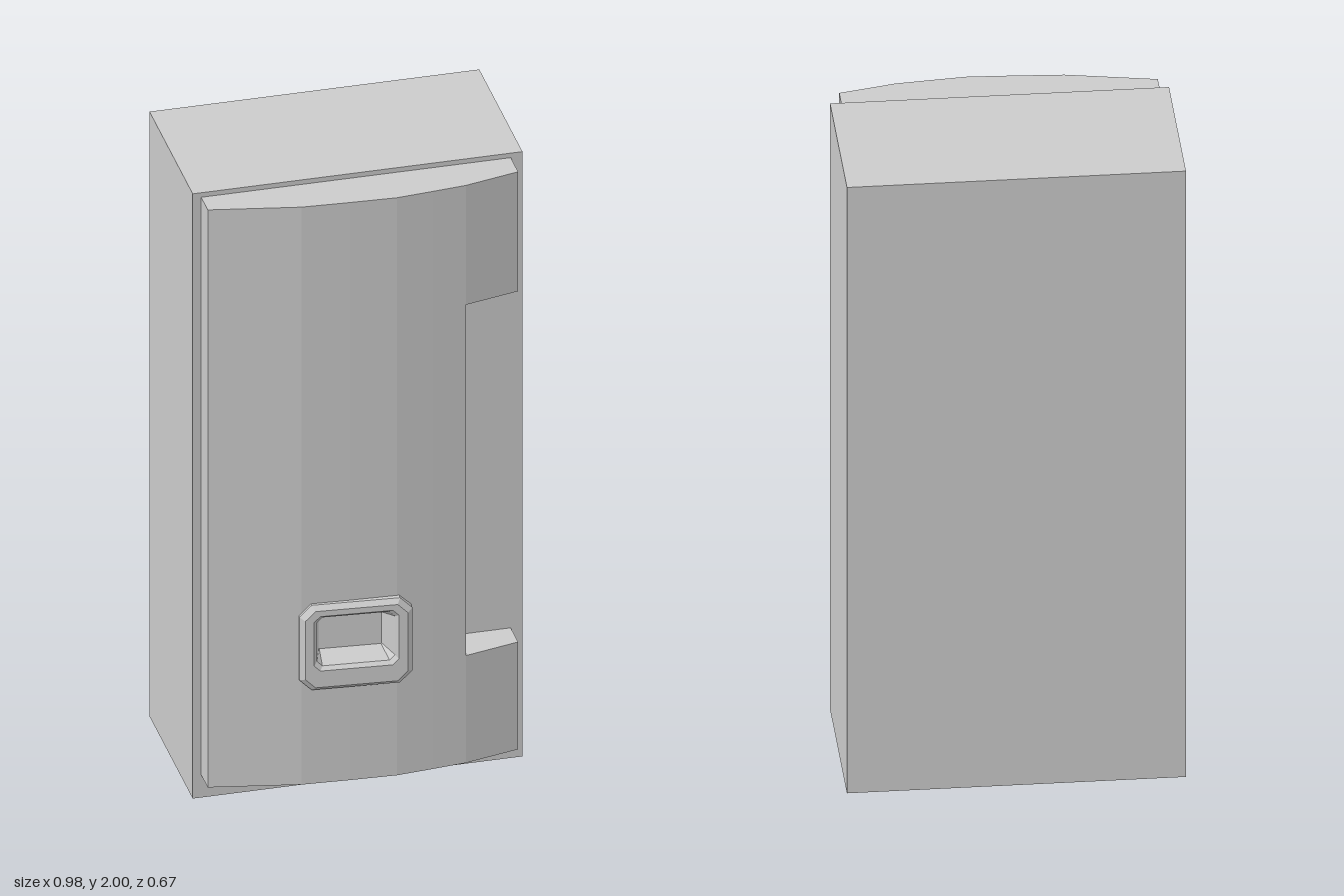
import * as THREE from 'three';

const material = new THREE.MeshStandardMaterial({ color: 0xcccccc, flatShading: true, side: THREE.DoubleSide });

// bowed door front: x, z
const BOW = [[-0.465, 0.236], [-0.2, 0.288], [-0.06, 0.297], [0.08, 0.304], [0.19, 0.294], [0.29, 0.284], [0.455, 0.245]];
const BODY_FRONT = 0.16;

function bowZ(x) {
  for (let i = 1; i < BOW.length; i++) {
    const [x0, z0] = BOW[i - 1], [x1, z1] = BOW[i];
    if (x <= x1) return z0 + (z1 - z0) * (x - x0) / (x1 - x0);
  }
  return BOW[BOW.length - 1][1];
}

// upright slab of the door between two x and two y positions
function doorSlab(x0, x1, y0, y1) {
  const xs = [x0, ...BOW.map(p => p[0]).filter(x => x > x0 + 1e-4 && x < x1 - 1e-4), x1];
  const pts = [new THREE.Vector2(x1, -BODY_FRONT), new THREE.Vector2(x0, -BODY_FRONT)];
  xs.forEach(x => pts.push(new THREE.Vector2(x, -bowZ(x))));
  const geo = new THREE.ExtrudeGeometry(new THREE.Shape(pts), { depth: y1 - y0, bevelEnabled: false });
  geo.rotateX(-Math.PI / 2).translate(0, y0, 0);
  return new THREE.Mesh(geo, material);
}

// rectangle with cut corners, counter-clockwise from the front
function ring({ w, h, c, cy, z }) {
  return [[w, -h + c], [w, h - c], [w - c, h], [-w + c, h], [-w, h - c], [-w, -h + c], [-w + c, -h], [w - c, -h]]
    .map(([x, y]) => [x, y + cy, z]);
}

// skin over successive rings, closed at the last one
function loft(sections) {
  const rings = sections.map(ring), n = 8, index = [];
  for (let r = 0; r < rings.length - 1; r++) {
    for (let i = 0; i < n; i++) {
      const a = r * n + i, b = r * n + (i + 1) % n;
      index.push(a, b, b + n, a, b + n, a + n);
    }
  }
  const last = (rings.length - 1) * n;
  for (let i = 1; i < n - 1; i++) index.push(last, last + i, last + i + 1);
  const geo = new THREE.BufferGeometry();
  geo.setAttribute('position', new THREE.Float32BufferAttribute(rings.flat(2), 3));
  geo.setIndex(index);
  const flat = geo.toNonIndexed();
  flat.computeVertexNormals();
  return flat;
}

export function createModel() {
  const model = new THREE.Group();

  // cabinet
  const body = new THREE.Mesh(new THREE.BoxGeometry(0.98, 2, 0.495), material);
  body.name = 'cabinet';
  body.position.set(0, 1, BODY_FRONT - 0.2475);
  model.add(body);

  // bowed door with side notch and an opening for the tray
  const door = new THREE.Group();
  door.name = 'door';
  const bottom = 0.075, top = 1.985;
  [
    [-0.465, -0.165, bottom, top],
    [-0.165, 0.07, bottom, 0.465],
    [-0.165, 0.07, 0.63, top],
    [0.07, 0.29, bottom, top],
    [0.29, 0.455, bottom, 0.43],
    [0.29, 0.455, 1.59, top],
  ].forEach(s => door.add(doorSlab(...s)));
  model.add(door);

  // raised dispenser surround running into the recessed tray
  const dispenser = new THREE.Mesh(loft([
    { w: 0.165, h: 0.14, c: 0.036, cy: 0, z: -0.05 },
    { w: 0.165, h: 0.14, c: 0.036, cy: 0, z: -0.014 },
    { w: 0.15, h: 0.126, c: 0.03, cy: 0, z: 0 },
    { w: 0.124, h: 0.09, c: 0.018, cy: 0.018, z: 0 },
    { w: 0.114, h: 0.08, c: 0.016, cy: 0.018, z: -0.012 },
    { w: 0.092, h: 0.053, c: 0.002, cy: -0.008, z: -0.11 },
  ]), material);
  dispenser.name = 'dispenserTray';
  dispenser.position.set(-0.045, 0.53, 0.323);
  dispenser.rotation.y = -0.08;
  model.add(dispenser);

  return model;
}
